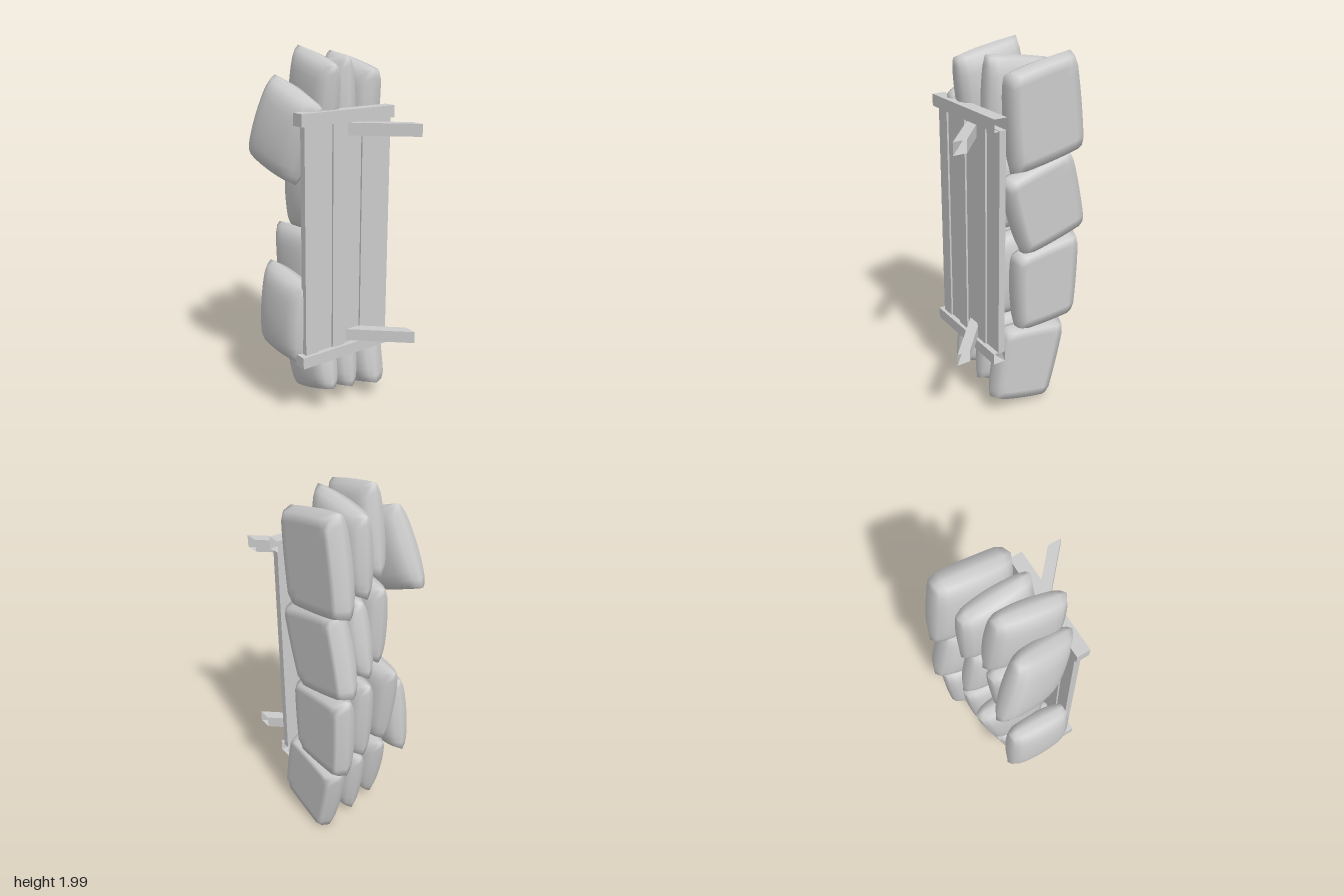
import * as THREE from 'three';
import { mergeVertices } from 'three/addons/utils/BufferGeometryUtils.js';

const grey = new THREE.MeshStandardMaterial({ color: 0xcccccc });
const greyOpen = new THREE.MeshStandardMaterial({ color: 0xcccccc, side: THREE.DoubleSide });
const BACK = -0.31; // flat plane the stack rests against

// Pillow stretched over four corners [x, y]: top left, top right, bottom right, bottom left.
// z = centre depth, slopeX / slopeY tilt it, front / back = half thickness each way.
function bagGeometry([tl, tr, br, bl], { z, slopeX = 0, slopeY = 0, front, back }) {
  let g = new THREE.BoxGeometry(2, 2, 2, 10, 10, 2);
  g.deleteAttribute('uv');
  g.deleteAttribute('normal');
  g = mergeVertices(g);
  const p = g.attributes.position;
  const midY = (tl[1] + tr[1] + br[1] + bl[1]) / 4;
  const dome = (t) => 0.56 + 0.44 * Math.sqrt(Math.max(0, 1 - t * t));
  for (let i = 0; i < p.count; i++) {
    const u0 = p.getX(i), v0 = p.getY(i), w = p.getZ(i);
    const inset = Math.abs(w) > 0.5 ? 0.92 : 0.985; // seam sticks out past both faces
    const u = u0 * inset * (1 + 0.04 * (1 - v0 * v0));
    const v = v0 * inset * (1 + 0.03 * (1 - u0 * u0));
    const a = (1 + u) / 2, b = (1 + v) / 2;
    const at = (k) => b * ((1 - a) * tl[k] + a * tr[k]) + (1 - b) * ((1 - a) * bl[k] + a * br[k]);
    const x = at(0), y = at(1);
    const puff = w * (w > 0 ? front : back) * dome(u0) * dome(v0);
    const depth = z + slopeX * x + slopeY * (y - midY) + puff;
    p.setXYZ(i, x, y, Math.max(depth, BACK));
  }
  g.computeVertexNormals();
  return g;
}

// Box without its rear (-z) face
function openBox(w, h, d) {
  const g = new THREE.BoxGeometry(w, h, d);
  g.setIndex(Array.from(g.index.array).slice(0, 30));
  g.clearGroups();
  return g;
}

// Layers from the back to the front
const layers = [
  { z: -0.245, front: 0.088, back: 0.16, bags: [
    { c: [[-0.3, 1.96], [0.09, 1.88], [0.05, 1.38], [-0.38, 1.46]] },
    { c: [[-0.3, 1.47], [0.11, 1.36], [-0.02, 0.93], [-0.41, 1.03]] },
    { c: [[-0.37, 0.99], [0.03, 0.94], [0.01, 0.49], [-0.355, 0.5]] },
    { c: [[-0.3, 0.46], [0.09, 0.52], [0.17, 0.1], [-0.19, 0.0]] },
  ] },
  { z: -0.083, front: 0.08, back: 0.08, bags: [
    { c: [[-0.28, 1.9], [0.09, 1.95], [0.1, 1.48], [-0.3, 1.48]] },
    { c: [[-0.25, 1.45], [0.11, 1.47], [0.1, 1.02], [-0.33, 1.04]] },
    { c: [[-0.33, 1.0], [0.08, 0.98], [0.05, 0.5], [-0.29, 0.51]] },
    { c: [[-0.27, 0.48], [0.11, 0.51], [0.15, 0.12], [-0.19, 0.04]] },
  ] },
  { z: 0.065, front: 0.083, back: 0.083, bags: [
    { c: [[-0.18, 2.0], [0.18, 1.92], [0.12, 1.49], [-0.25, 1.54]], slopeX: 0.06, z: 0.055 },
    { c: [[-0.24, 1.47], [0.13, 1.5], [0.12, 1.06], [-0.22, 1.02]] },
    { c: [[-0.34, 1.02], [0.045, 1.04], [0.06, 0.54], [-0.26, 0.53]], z: 0.078 },
    { c: [[-0.26, 0.5], [0.12, 0.5], [0.185, 0.17], [-0.16, 0.06]], z: 0.075 },
  ] },
  { z: 0.22, front: 0.088, back: 0.083, bags: [
    { c: [[-0.165, 1.86], [0.17, 1.72], [0.03, 1.31], [-0.315, 1.44]], slopeX: -0.19, slopeY: -0.08, z: 0.192 },
    { c: [[-0.22, 0.85], [0.15, 0.8], [0.13, 0.35], [-0.26, 0.37]], z: 0.226, slopeY: -0.04 },
  ] },
];

export function createModel() {
  const model = new THREE.Group();
  const add = (geometry, name, material = grey, parent = model) => {
    const mesh = new THREE.Mesh(geometry, material);
    mesh.name = name;
    parent.add(mesh);
    return mesh;
  };

  // Stacked sandbags
  layers.forEach(({ bags, ...shared }, n) => {
    const layer = new THREE.Group();
    layer.name = `sandbagLayer${n + 1}`;
    bags.forEach(({ c, ...own }) => add(bagGeometry(c, { ...shared, ...own }), 'sandbag', grey, layer));
    model.add(layer);
  });

  // Plank facing, every second plank set back
  const seams = [0.243, 0.164, 0.069, -0.01, -0.116, -0.2, BACK];
  for (let i = 0; i < seams.length - 1; i++) {
    const x = i % 2 ? 0.136 : 0.146;
    add(new THREE.BoxGeometry(0.037, 1.225, seams[i] - seams[i + 1]), 'plank')
      .position.set(x, 1.025, (seams[i] + seams[i + 1]) / 2);
  }

  // Posts at both ends of the planks
  for (const y of [0.386, 1.666]) {
    add(openBox(0.071, 0.063, 0.583), 'post', greyOpen).position.set(0.148, y, -0.0185);
  }

  // Diagonal struts: boxes sheared outwards towards the back
  for (const y of [0.463, 1.595]) {
    const g = openBox(0.075, 0.065, 0.287);
    const p = g.attributes.position;
    for (let i = 0; i < p.count; i++) p.setX(i, p.getX(i) - 0.9 * p.getZ(i));
    g.computeVertexNormals();
    add(g, 'strut', greyOpen).position.set(0.238, y, -0.1635);
  }
  return model;
}
